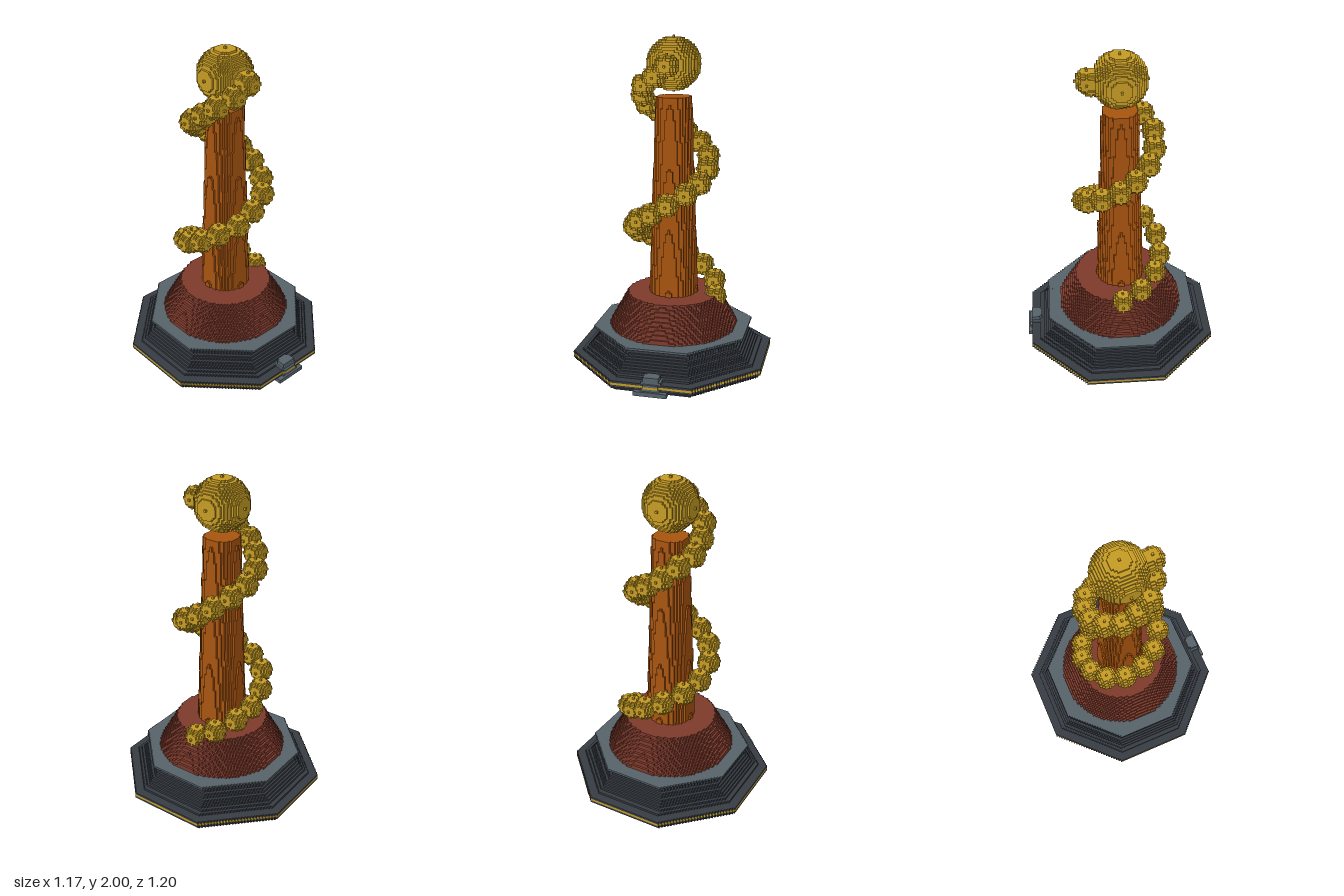
import * as THREE from 'three';

const V = 2 / 152;          // edge of one block
const AXIS_Z = -V;          // the column stands one block behind centre

const mat = (name, color) => Object.assign(new THREE.MeshStandardMaterial({ color }), { name });
const gold = mat('gold', 0xc69c24);
const wood = mat('orange wood', 0xa8540f);
const maroon = mat('maroon', 0x7e3a2c);
const slate = mat('slate', 0x56626a);
const dark = mat('dark slate', 0x373c43);

// Outer skin of all blocks for which inside(i, k, j) holds; neighbouring faces are joined into strips.
// box = [iMin, iMax, kMin, kMax, jMin, jMax]; i is along x, k is up, j is along z.
function blockGeometry(box, inside) {
  const lo = [box[0], box[2], box[4]], hi = [box[1], box[3], box[5]];
  const n = lo.map((l, a) => hi[a] - l + 3);
  const cells = new Uint8Array(n[0] * n[1] * n[2]);
  const at = (c) => cells[((c[0] - lo[0] + 1) * n[1] + c[1] - lo[1] + 1) * n[2] + c[2] - lo[2] + 1];
  for (let i = lo[0]; i <= hi[0]; i++)
    for (let k = lo[1]; k <= hi[1]; k++)
      for (let j = lo[2]; j <= hi[2]; j++)
        if (inside(i, k, j)) cells[((i - lo[0] + 1) * n[1] + k - lo[1] + 1) * n[2] + j - lo[2] + 1] = 1;

  const pos = [], nor = [], idx = [];
  for (let a = 0; a < 3; a++) {
    const u = a === 0 ? 2 : 0;            // strips run along z or x
    const w = 3 - a - u;
    for (const s of [-1, 1]) {
      const c = [0, 0, 0];
      const open = () => {
        if (!at(c)) return false;
        c[a] += s;
        const free = !at(c);
        c[a] -= s;
        return free;
      };
      for (c[a] = lo[a]; c[a] <= hi[a]; c[a]++)
        for (c[w] = lo[w]; c[w] <= hi[w]; c[w]++) {
          let start = null;
          for (c[u] = lo[u]; c[u] <= hi[u] + 1; c[u]++) {
            const o = c[u] <= hi[u] && open();
            if (o && start === null) start = c[u];
            if (!o && start !== null) {
              const base = pos.length / 3;
              for (const [pu, pw] of [[start, 0], [c[u], 0], [c[u], 1], [start, 1]]) {
                const p = [0, 0, 0], d = [0, 0, 0];
                p[a] = c[a] + (s > 0 ? 1 : 0);
                p[u] = pu;
                p[w] = c[w] + pw;
                d[a] = s;
                pos.push((p[0] - 0.5) * V, p[1] * V, (p[2] - 0.5) * V + AXIS_Z);
                nor.push(...d);
              }
              const right = (u === (a + 1) % 3) === (s > 0);
              idx.push(...(right ? [0, 1, 2, 0, 2, 3] : [0, 2, 1, 0, 3, 2]).map((q) => base + q));
              start = null;
            }
          }
        }
    }
  }
  const g = new THREE.BufferGeometry();
  g.setAttribute('position', new THREE.Float32BufferAttribute(pos, 3));
  g.setAttribute('normal', new THREE.Float32BufferAttribute(nor, 3));
  g.setIndex(idx);
  return g;
}

// Size of a block position measured round or eight-sided
const round = (i, j) => Math.hypot(i, j);
const octagon = (i, j) => Math.max(Math.abs(i), Math.abs(j), (Math.abs(i) + Math.abs(j)) / Math.SQRT2);

export function createModel() {
  const model = new THREE.Group();
  model.name = 'trophy';

  const add = (name, material, geometry) => {
    const m = new THREE.Mesh(geometry, material);
    m.name = name;
    model.add(m);
    return m;
  };
  // Stack of layers from k0 to k1 with a radius (in units) for each layer
  const stack = (name, material, k0, k1, shape, radius) =>
    add(name, material, blockGeometry([-46, 46, k0, k1, -46, 46],
      (i, k, j) => shape(i, j) <= radius(k) / V));
  const slab = (name, material, i, k0, k1, j0, j1) =>
    add(name, material, blockGeometry([-i, i, k0, k1, j0, j1], () => true));
  const ball = (r) => blockGeometry([-r, r, -r, r, -r, r],
    (i, k, j) => i * i + k * k + j * j <= r * r);

  // Eight-sided foot with a gold band, a coved plinth and a flange
  stack('footLower', dark, 0, 2, octagon, (k) => [0.553, 0.568, 0.585][k]);
  stack('footBand', gold, 3, 3, octagon, () => 0.585);
  stack('footUpper', dark, 4, 4, octagon, () => 0.585);
  const cove = [0.53, 0.505, 0.49, 0.48, 0.468, 0.452, 0.438, 0.426, 0.42, 0.415];
  stack('plinth', dark, 5, 14, octagon, (k) => cove[k - 5]);
  stack('flange', slate, 15, 16, octagon, (k) => (k === 15 ? 0.44 : 0.465));

  // Front step and its small knob
  slab('stepLow', slate, 7, 0, 1, 40, 46);
  slab('stepHigh', slate, 4, 2, 2, 40, 45);
  slab('stepTrim', gold, 3, 3, 3, 43, 45);
  slab('stepCap', slate, 3, 4, 4, 43, 45);
  add('knob', slate, blockGeometry([-4, 4, 5, 7, 40, 44],
    (i, k, j) => Math.abs(i) <= (k === 5 ? 4 : 3) - (j === 40 ? 1 : 0)));

  // Round sloping base and tapered column
  stack('coneBase', maroon, 17, 32, round, (k) => 0.394 - (k - 17) * 0.0074);
  stack('column', wood, 33, 124, round, (k) => 0.146 - (k - 33) * 0.00046);

  // Ball on top
  const top = add('topBall', gold, ball(12));
  top.position.y = 139 * V;

  // Spiral of beads climbing one and three quarter turns, closing in as it rises
  const beads = new THREE.Group();
  beads.name = 'beadSpiral';
  const beadGeometry = ball(5);
  const COUNT = 24;
  for (let b = 0; b < COUNT; b++) {
    const t = b / (COUNT - 1);
    const angle = t * 3.5 * Math.PI;
    const r = 0.265 - 0.084 * t;
    const bead = new THREE.Mesh(beadGeometry, gold);
    bead.name = 'bead';
    const snap = (x) => Math.round(x / V) * V;
    bead.position.set(snap(r * Math.cos(angle)), snap(0.41 + 1.42 * t), snap(-r * Math.sin(angle)));
    beads.add(bead);
  }
  model.add(beads);
  return model;
}
